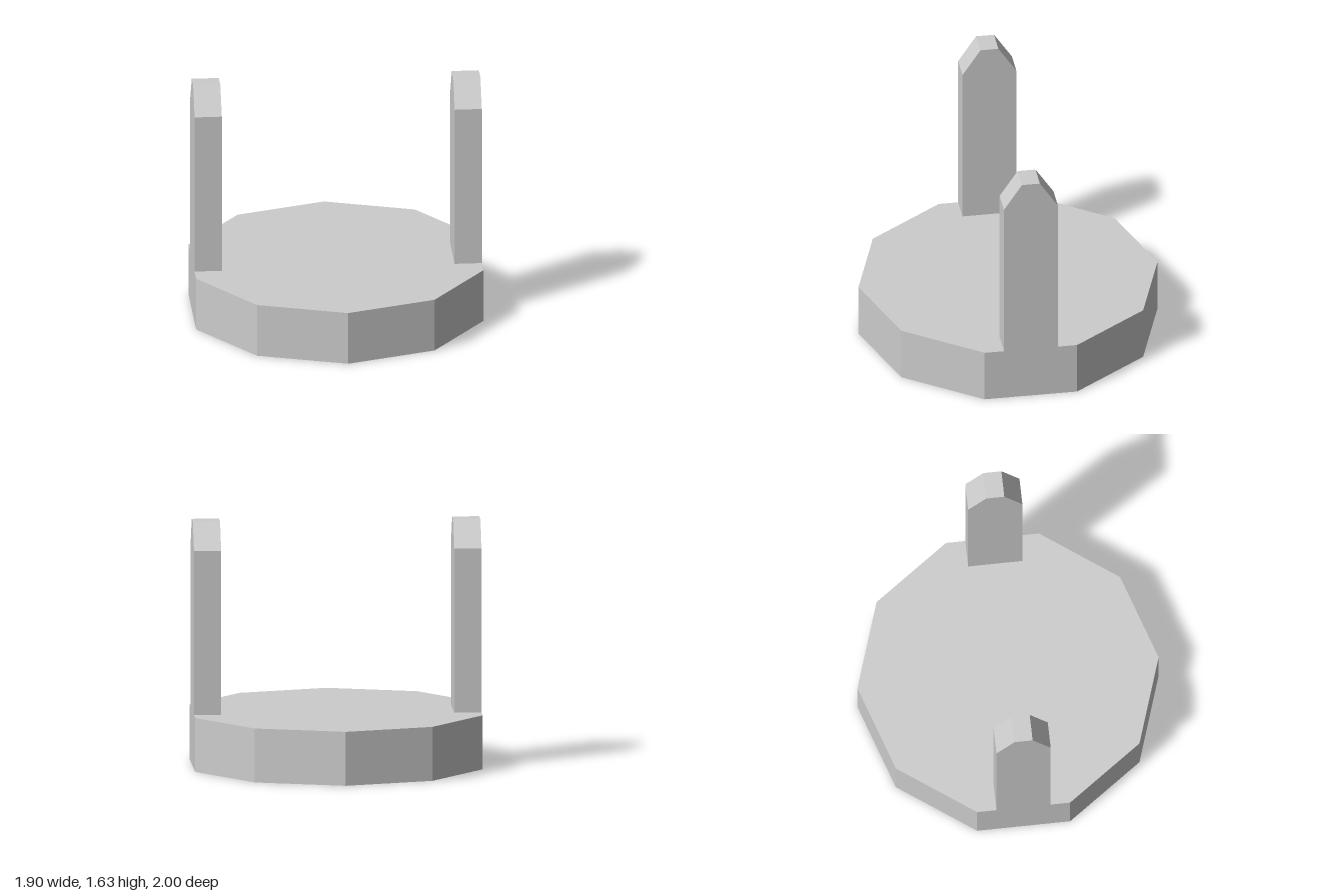
import * as THREE from 'three';

export function createModel() {
  const model = new THREE.Group();
  model.name = 'prongedCap';
  const grey = new THREE.MeshStandardMaterial({
    color: 0xcccccc, flatShading: true, side: THREE.DoubleSide,
  });
  grey.name = 'plain grey';

  const sides = 10, radius = 1, baseHeight = 0.36;
  const add = (geometry, name) => {
    const mesh = new THREE.Mesh(geometry, grey);
    mesh.name = name;
    model.add(mesh);
    return mesh;
  };

  // Ten-sided skirt, hollow and open underneath
  const skirt = add(new THREE.CylinderGeometry(radius, radius, baseHeight, sides, 1, true), 'skirt');
  skirt.position.y = baseHeight / 2;

  // Thin top plate closing the skirt, one corner pointing to the front
  const plate = add(new THREE.CircleGeometry(radius, sides, Math.PI / 2), 'topPlate');
  plate.rotation.x = -Math.PI / 2;
  plate.position.y = baseHeight;

  // Upright prongs with chamfered tips, flush with the outer side faces
  const outer = radius * Math.cos(Math.PI / sides), thickness = 0.18;
  const profile = new THREE.Shape([
    [-0.18, baseHeight], [0.18, baseHeight], [0.18, 1.455],
    [0.06, 1.635], [-0.06, 1.635], [-0.18, 1.455],
  ].map(([z, y]) => new THREE.Vector2(z, y)));
  const prong = new THREE.ExtrudeGeometry(profile, { depth: thickness, bevelEnabled: false });
  prong.rotateY(Math.PI / 2);
  add(prong, 'leftProng').position.x = outer - thickness;
  add(prong, 'rightProng').position.x = -outer;

  return model;
}
